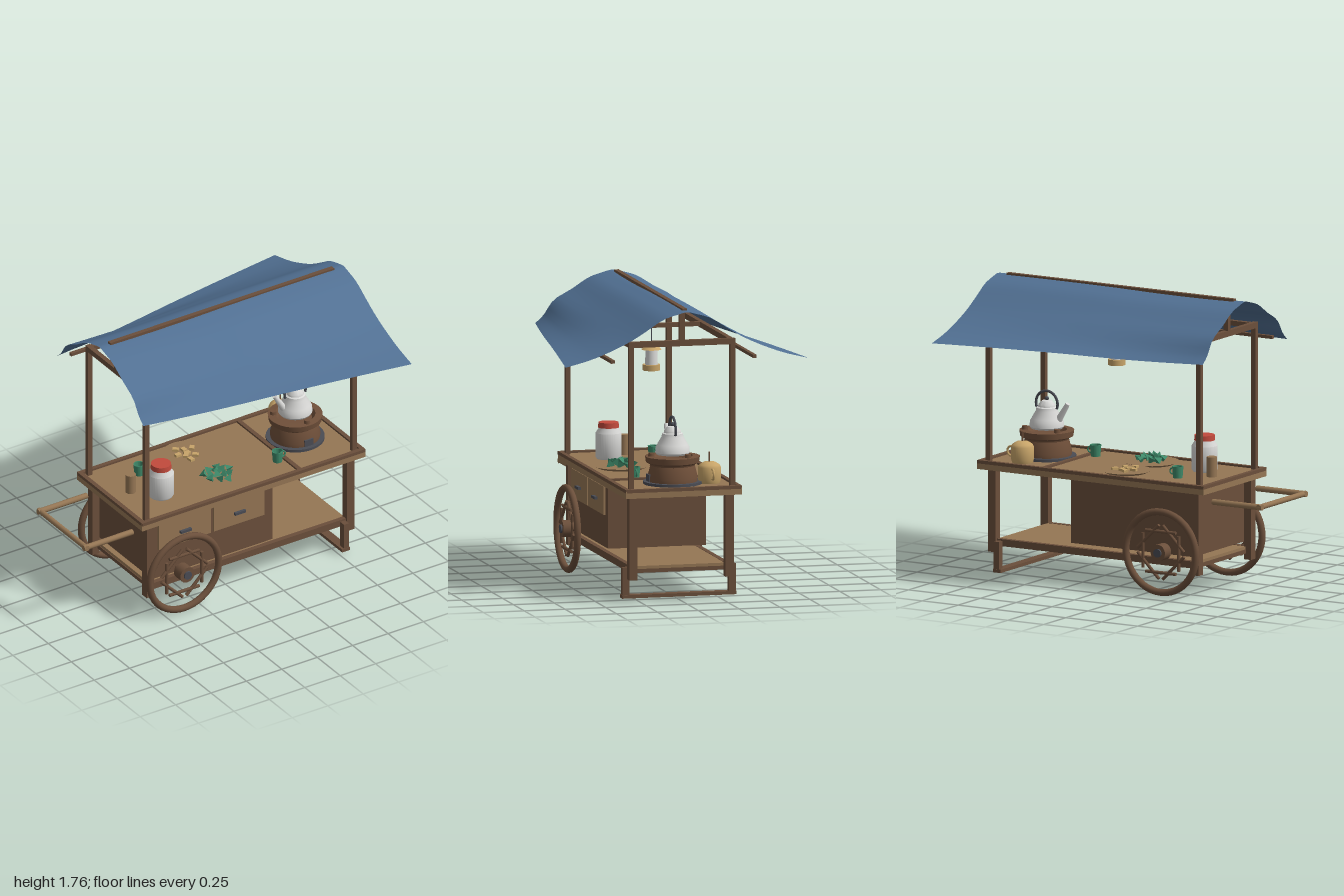
import * as THREE from 'three';
import { toCreasedNormals } from 'three/addons/utils/BufferGeometryUtils.js';

const mat = (name, color, side = THREE.FrontSide) => {
  const m = new THREE.MeshStandardMaterial({ color, side });
  m.name = name;
  return m;
};

export function createModel() {
  const root = new THREE.Group();
  root.name = 'foodCart';
  const dark = mat('darkWood', 0x6b4f3b);
  const light = mat('lightWood', 0x957654);
  const cloth = mat('blueCloth', 0x527194, THREE.DoubleSide);
  const white = mat('whiteEnamel', 0xd8d8d6);
  const red = mat('redLid', 0xc24a3c);
  const green = mat('greenGlaze', 0x3f8a6a, THREE.DoubleSide);
  const iron = mat('darkIron', 0x4a4c54);
  const clay = mat('brownClay', 0x70503a);
  const tan = mat('tanBrass', 0xc7a469);

  const group = (name, x = 0, y = 0, z = 0) => {
    const g = new THREE.Group();
    g.name = name;
    g.position.set(x, y, z);
    root.add(g);
    return g;
  };
  const add = (name, geo, m, x = 0, y = 0, z = 0, parent = root) => {
    const mesh = new THREE.Mesh(geo, m);
    mesh.name = name;
    mesh.position.set(x, y, z);
    parent.add(mesh);
    return mesh;
  };
  // box given by its min and max on each axis
  const box = (name, m, x0, x1, y0, y1, z0, z1, parent = root) =>
    add(name, new THREE.BoxGeometry(x1 - x0, y1 - y0, z1 - z0), m,
      (x0 + x1) / 2, (y0 + y1) / 2, (z0 + z1) / 2, parent);
  const cyl = (name, m, rTop, rBottom, h, x, y, z, parent = root, sides = 24) =>
    add(name, new THREE.CylinderGeometry(rTop, rBottom, h, sides), m, x, y, z, parent);
  const lathe = (name, m, pts, parent) =>
    add(name, toCreasedNormals(new THREE.LatheGeometry(
      pts.map(p => new THREE.Vector2(p[0], p[1])), 32), 0.6), m, 0, 0, 0, parent);

  // tabletop with raised rim and divider
  box('tabletop', light, -0.655, 0.92, 0.638, 0.68, -0.355, 0.355);
  for (const s of [-1, 1]) box('tableRim', dark, -0.655, 0.92, 0.672, 0.692, s * 0.343 - 0.013, s * 0.343 + 0.013);
  for (const x of [-0.642, 0.47, 0.907]) box('tableRim', dark, x - 0.0135, x + 0.0135, 0.672, 0.692, -0.35, 0.35);

  // legs, posts and the side parts mirrored front to back
  for (const s of [-1, 1]) {
    for (const [leg, post] of [[-0.575, -0.6], [0.84, 0.865]]) {
      box('leg', dark, leg - 0.025, leg + 0.025, 0.14, 0.64, s * 0.295 - 0.025, s * 0.295 + 0.025);
      box('roofPost', dark, post - 0.015, post + 0.015, 0.64, 1.56, s * 0.31 - 0.015, s * 0.31 + 0.015);
    }
    box('shelfRail', dark, -0.55, 0.815, 0.178, 0.22, s * 0.29 - 0.015, s * 0.29 + 0.015);
    box('standLeg', dark, 0.775, 0.81, 0.04, 0.21, s * 0.326 - 0.021, s * 0.326 + 0.021);
    box('roofSideBeam', dark, -0.6, 0.865, 1.535, 1.565, s * 0.31 - 0.015, s * 0.31 + 0.015);
    box('eaveRod', dark, -0.65, 0.92, 1.453, 1.472, s * 0.435 - 0.011, s * 0.435 + 0.011);
    cyl('handleShaft', light, 0.018, 0.018, 0.345, -0.828, 0.582, s * 0.248, root, 12).rotation.z = Math.PI / 2;
  }
  cyl('handleGrip', light, 0.017, 0.017, 0.53, -0.983, 0.582, 0, root, 12).rotation.x = Math.PI / 2;
  box('standFoot', dark, 0.76, 0.815, 0.025, 0.045, -0.35, 0.35);

  // lower shelf and cabinet
  box('shelf', light, -0.56, 0.82, 0.2, 0.218, -0.275, 0.275);
  for (const x of [-0.55, 0.8]) box('shelfEndRail', dark, x - 0.015, x + 0.015, 0.176, 0.2, -0.29, 0.29);
  box('cabinet', dark, -0.55, 0.3, 0.246, 0.63, -0.3, 0.3);
  for (const [x0, x1] of [[-0.51, -0.14], [-0.12, 0.235]]) {
    box('drawer', light, x0, x1, 0.44, 0.61, 0.29, 0.312);
    const c = (x0 + x1) / 2;
    box('drawerPull', iron, c - 0.038, c + 0.038, 0.512, 0.528, 0.31, 0.33);
  }

  // wheels with a woven ring of tangent spokes
  for (const s of [-1, 1]) {
    const w = group('wheel', -0.37, 0.27, s * 0.373);
    add('tire', new THREE.TorusGeometry(0.243, 0.021, 12, 48), dark, 0, 0, 0, w);
    for (let i = 0; i < 8; i++) {
      const a = i * Math.PI / 4;
      cyl('spoke', dark, 0.01, 0.01, 0.21, Math.cos(a) * 0.124, Math.sin(a) * 0.124, 0, w, 8).rotation.z = a;
    }
    cyl('hub', dark, 0.05, 0.05, 0.07, 0, 0, 0, w).rotation.x = Math.PI / 2;
    cyl('hubCap', iron, 0.026, 0.026, 0.09, 0, 0, 0, w).rotation.x = Math.PI / 2;
  }
  cyl('axle', dark, 0.02, 0.02, 0.72, -0.37, 0.27, 0, root, 12).rotation.x = Math.PI / 2;

  // roof frame
  for (const x of [-0.6, 0.865]) {
    box('roofEndBeam', dark, x - 0.015, x + 0.015, 1.535, 1.57, -0.325, 0.325);
    box('kingPost', dark, x - 0.015, x + 0.015, 1.56, 1.75, -0.016, 0.016);
  }
  box('lanternBeam', dark, 0.153, 0.183, 1.54, 1.565, -0.31, 0.31);
  box('ridgeBeam', dark, -0.655, 0.925, 1.742, 1.766, -0.018, 0.01);
  box('frontBoard', light, -0.13, 0.38, 1.447, 1.54, 0.322, 0.334);

  // cloth canopy: sagging cross-sections that flare toward the left end
  const nx = 24, nz = 32, pos = [], idx = [];
  for (let i = 0; i <= nx; i++) {
    const t = i / nx, x = -0.725 + 1.72 * t, w = 0.475 + 0.27 * t;
    const half = [[0.06, 1.742], [0.145, 1.715], [0.25, 1.65], [0.365, 1.583],
      [0.365 + (w - 0.365) * 0.55, 1.497], [w, 1.452]];
    const curve = new THREE.CatmullRomCurve3([
      ...half.map(p => new THREE.Vector3(0, p[1], -p[0])).reverse(),
      new THREE.Vector3(0, 1.755, 0),
      ...half.map(p => new THREE.Vector3(0, p[1], p[0]))]);
    const wave = -0.006 * Math.sin(t * Math.PI * 2);
    for (let j = 0; j <= nz; j++) {
      const p = curve.getPoint(j / nz);
      pos.push(x, p.y + wave * (t < 0.5 ? 1 : 0.4), p.z);
      if (i < nx && j < nz) {
        const a = i * (nz + 1) + j, b = a + nz + 1;
        idx.push(a, a + 1, b, b, a + 1, b + 1);
      }
    }
  }
  const canopy = new THREE.BufferGeometry();
  canopy.setAttribute('position', new THREE.Float32BufferAttribute(pos, 3));
  canopy.setIndex(idx);
  canopy.computeVertexNormals();
  add('canopy', canopy, cloth);

  // hanging lantern
  const lantern = group('lantern', 0.168, 1.285, 0);
  cyl('lanternBase', tan, 0.052, 0.052, 0.035, 0, 0.018, 0, lantern);
  cyl('lanternGlass', white, 0.034, 0.038, 0.1, 0, 0.085, 0, lantern);
  cyl('lanternCap', tan, 0.025, 0.06, 0.03, 0, 0.14, 0, lantern);
  cyl('lanternTop', tan, 0.025, 0.025, 0.012, 0, 0.155, 0, lantern);
  cyl('lanternWire', iron, 0.003, 0.003, 0.11, 0, 0.21, 0, lantern, 6);

  // clay stove on an iron tray
  const stove = group('stove', 0.655, 0.68, 0);
  cyl('tray', iron, 0.175, 0.175, 0.016, 0, 0.008, 0, stove, 32);
  lathe('stoveBody', clay, [[0, 0.01], [0.148, 0.01], [0.15, 0.04], [0.132, 0.11], [0.135, 0.118],
    [0.158, 0.13], [0.163, 0.165], [0.12, 0.168], [0.1, 0.14], [0, 0.14]], stove);
  for (let i = 0; i < 3; i++) {
    const a = Math.PI / 2 + i * Math.PI * 2 / 3;
    cyl('potRest', clay, 0.018, 0.02, 0.03, Math.cos(a) * 0.13, 0.172, Math.sin(a) * 0.13, stove, 10);
  }
  box('stoveDoor', iron, -0.03, 0.03, 0.018, 0.06, 0.13, 0.153, stove);

  // kettle
  const kettle = group('kettle', 0.655, 0.855, 0);
  lathe('kettleBody', white, [[0, 0], [0.095, 0], [0.103, 0.012], [0.1, 0.045], [0.09, 0.06], [0.088, 0.066],
    [0.065, 0.105], [0.062, 0.125], [0.052, 0.13], [0.05, 0.142], [0.03, 0.165], [0, 0.17]], kettle);
  add('kettleKnob', new THREE.SphereGeometry(0.013, 12, 8), iron, 0, 0.178, 0, kettle);
  add('kettleHandle', new THREE.TorusGeometry(0.075, 0.008, 8, 32, Math.PI * 1.24), iron, 0, 0.148, 0, kettle)
    .rotation.z = -Math.PI * 0.12;
  cyl('kettleSpout', white, 0.014, 0.023, 0.15, -0.107, 0.095, 0, kettle, 12).rotation.z = 0.55;

  // brass pot with a ladle handle
  const pot = group('brassPot', 0.69, 0.68, -0.217);
  lathe('potBody', tan, [[0, 0], [0.062, 0], [0.068, 0.02], [0.068, 0.095], [0.06, 0.11], [0.035, 0.125], [0, 0.128]], pot);
  cyl('ladleHandle', clay, 0.005, 0.005, 0.07, 0, 0.15, 0, pot, 8);
  add('potHandle', new THREE.TorusGeometry(0.03, 0.007, 8, 16), tan, 0.075, 0.06, 0, pot);

  // storage jar and wooden cup
  const jar = group('jar', -0.37, 0.68, 0.12);
  lathe('jarBody', white, [[0, 0], [0.07, 0], [0.077, 0.012], [0.077, 0.155], [0.06, 0.18], [0.058, 0.195], [0, 0.195]], jar);
  cyl('jarLid', red, 0.06, 0.062, 0.032, 0, 0.203, 0, jar);
  cyl('woodenCup', light, 0.031, 0.031, 0.12, -0.5, 0.74, -0.01);

  // mugs
  for (const [x, z] of [[0.42, 0.17], [-0.35, -0.15]]) {
    const mug = group('mug', x, 0.68, z);
    lathe('mugBody', green, [[0, 0], [0.028, 0], [0.034, 0.07], [0.029, 0.07], [0.025, 0.01], [0, 0.01]], mug);
    add('mugHandle', new THREE.TorusGeometry(0.018, 0.005, 8, 16), green, 0.036, 0.038, 0, mug);
  }

  // serving plates with greens and dumplings
  cyl('plate', light, 0.167, 0.13, 0.016, 0.015, 0.688, 0.145, root, 32);
  cyl('plate', light, 0.155, 0.12, 0.016, 0, 0.688, -0.165, root, 32);
  for (let i = 0; i < 14; i++) {
    const a = i * 2.4, r = 0.024 * Math.sqrt(i);
    const leaf = add('leafyGreen', new THREE.TetrahedronGeometry(0.032), green,
      0.015 + Math.cos(a) * r, 0.723 - r * 0.12, 0.145 + Math.sin(a) * r);
    leaf.rotation.set(i * 1.3, i * 0.9, i * 0.5);
  }
  for (let i = 0; i < 8; i++) {
    const a = i * 2.4, r = 0.03 * Math.sqrt(i);
    const bite = add('dumpling', new THREE.BoxGeometry(0.038, 0.016, 0.028), tan,
      Math.cos(a) * r, 0.703, -0.165 + Math.sin(a) * r);
    bite.rotation.y = i * 0.8;
  }
  return root;
}
